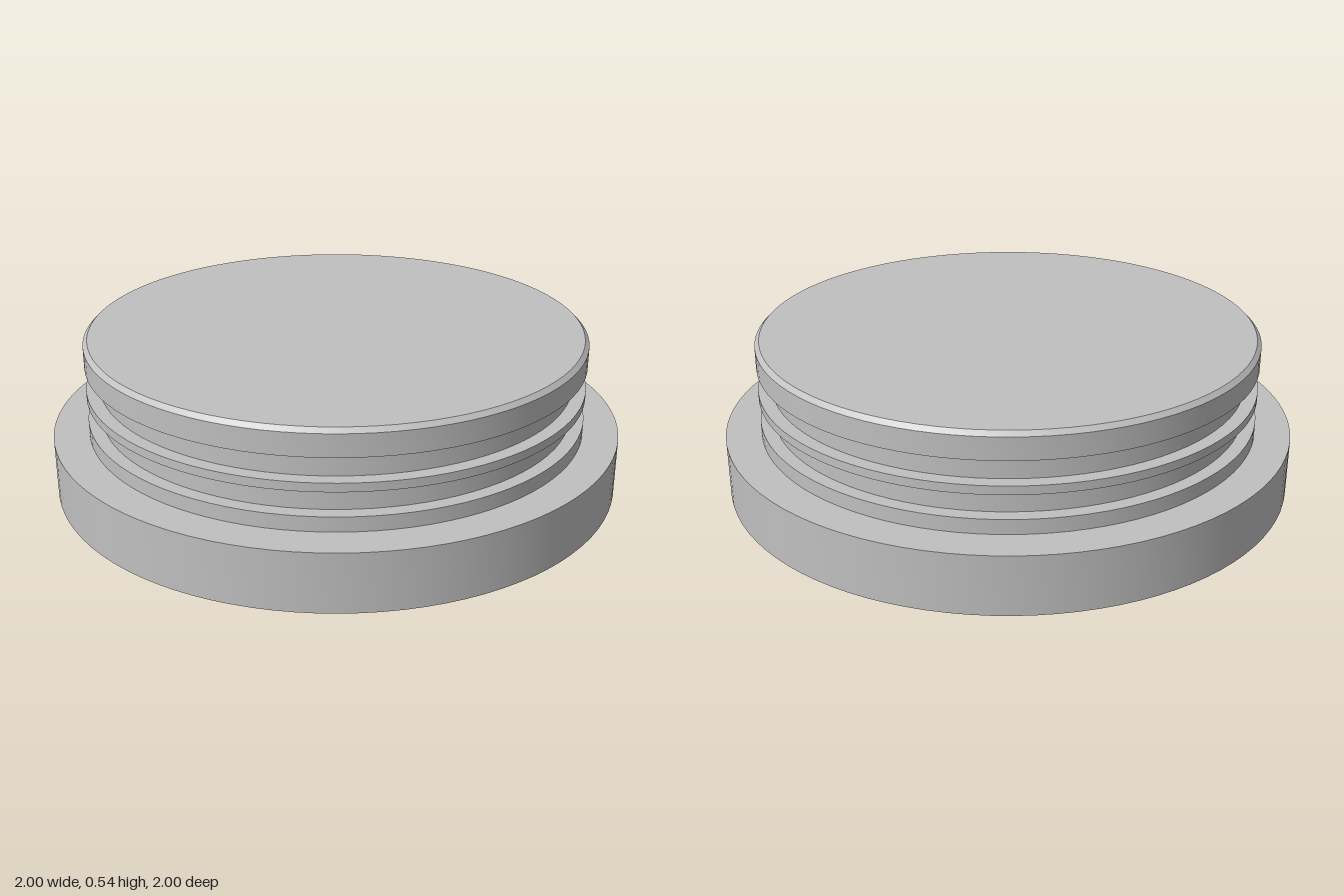
import * as THREE from 'three';
import { toCreasedNormals } from 'three/addons/utils/BufferGeometryUtils.js';

const SEGMENTS = 96;
const R_SEAL = 0.877; // outer radius of the plug ribs
const R_GROOVE = 0.83; // radius at the groove floors

// Revolve a bottom-to-top profile, keeping its corners sharp.
function turned(name, profile, material) {
  const points = profile.map(([r, y]) => new THREE.Vector2(r, y));
  const mesh = new THREE.Mesh(toCreasedNormals(new THREE.LatheGeometry(points, SEGMENTS), 0.5), material);
  mesh.name = name;
  return mesh;
}

export function createModel() {
  const grey = new THREE.MeshStandardMaterial({ color: 0xc0c0c0 });
  grey.name = 'plain grey';

  const group = new THREE.Group();
  group.name = 'groovedPlug';

  // Wide disc at the bottom, with its open shoulder meeting the plug
  group.add(turned('flange', [[0, 0], [1, 0], [1, 0.205], [R_SEAL, 0.205]], grey));

  // Plug body: low rib, groove, thin rib, groove, chamfered head
  const body = [[R_SEAL, 0.205]];
  for (const [bottom, top] of [[0.256, 0.338], [0.368, 0.45]]) {
    body.push([R_SEAL, bottom], [R_GROOVE, bottom], [R_GROOVE, top], [R_SEAL, top]);
  }
  body.push([R_SEAL, 0.527], [0.862, 0.542], [0, 0.542]);
  group.add(turned('plugBody', body, grey));

  return group;
}
